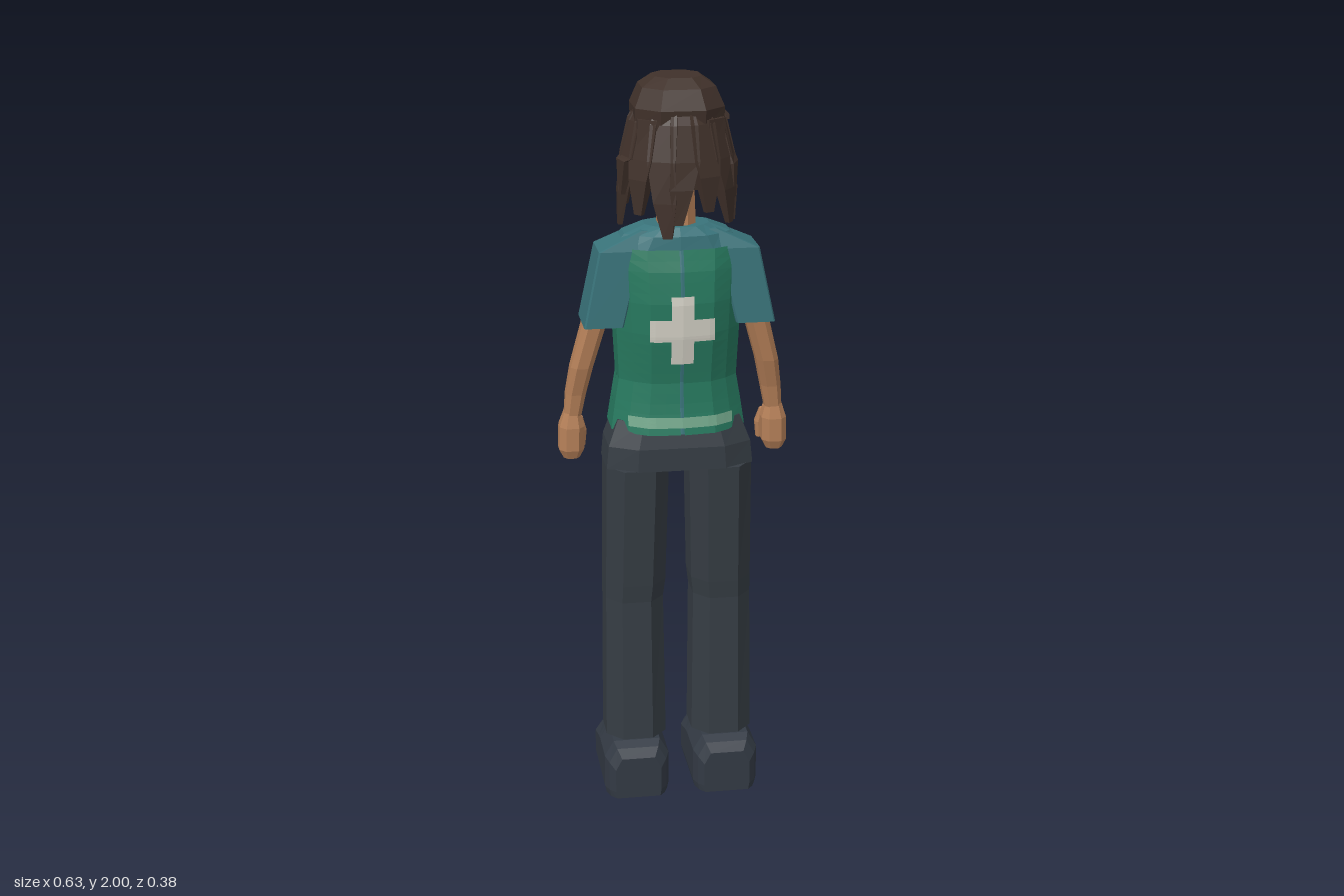
import * as THREE from 'three';

const mat = (name, color, side = THREE.FrontSide) => {
  const m = new THREE.MeshStandardMaterial({ color, flatShading: true, side });
  m.name = name;
  return m;
};

// Skin through a list of rings; each ring runs counterclockwise seen from the end it heads to.
function loft(rings) {
  const n = rings[0].length, pos = [], idx = [];
  rings.forEach(r => r.forEach(p => pos.push(...p)));
  for (let j = 0; j < rings.length - 1; j++) {
    for (let i = 0; i < n; i++) {
      const a = j * n + i, b = j * n + (i + 1) % n;
      idx.push(a, b, b + n, a, b + n, a + n);
    }
  }
  const top = (rings.length - 1) * n;
  for (let i = 1; i < n - 1; i++) idx.push(0, i + 1, i, top, top + i, top + i + 1);
  const g = new THREE.BufferGeometry();
  g.setAttribute('position', new THREE.Float32BufferAttribute(pos, 3));
  g.setIndex(idx);
  const flat = g.toNonIndexed();
  flat.computeVertexNormals();
  return flat;
}

// Horizontal box outline with cut corners
function oct(y, x0, x1, z0, z1, c = 0.25) {
  const a = (x1 - x0) * c, b = (z1 - z0) * c;
  return [[x1, y, z1 - b], [x1, y, z0 + b], [x1 - a, y, z0], [x0 + a, y, z0],
    [x0, y, z0 + b], [x0, y, z1 - b], [x0 + a, y, z1], [x1 - a, y, z1]];
}
const octLoft = (rows, c) => loft(rows.map(r => oct(...r, c)));
// Mirrored rows of [y, x0, x1, z0, z1]
const sideRows = (rows, s) => rows.map(([y, a, b, c, d]) => s > 0 ? [y, a, b, c, d] : [y, -b, -a, c, d]);

// Torso: height, half width, chest depth (-z), back depth (+z)
const TORSO = [
  [1.06, 0.172, 0.107, 0.132], [1.13, 0.162, 0.088, 0.118], [1.2, 0.15, 0.092, 0.112],
  [1.33, 0.156, 0.118, 0.132], [1.42, 0.16, 0.130, 0.134], [1.5, 0.165, 0.112, 0.124],
  [1.555, 0.172, 0.083, 0.106], [1.59, 0.14, 0.058, 0.102], [1.612, 0.085, 0.04, 0.085]];
// Quarter outline: share of width, share of depth
const QUARTER = [[0, 1], [0.5, 0.93], [0.78, 0.7], [1, 0.4], [1, 0]];

function sample(table, t) {
  let i = 0;
  while (i < table.length - 2 && t > table[i + 1][0]) i++;
  const a = table[i], b = table[i + 1];
  const k = THREE.MathUtils.clamp((t - a[0]) / (b[0] - a[0]), 0, 1);
  return a.map((v, q) => v + (b[q] - v) * k);
}
// Depth of the torso skin at x, y on the chest (-1) or the back (1)
function torsoZ(x, y, dir, grow) {
  const [, w, f, b] = sample(TORSO, y);
  const share = sample(QUARTER.slice(0, 4), Math.abs(x) / (w + grow))[1];
  return dir * ((dir < 0 ? f : b) + grow) * share;
}

// One quarter of the vest: a curved panel from the centre seam round to the side
function vestPanel(s, dir) {
  const cols = [[0.03, 1.43], [0.25, 1.49], [0.5, 1.55], [0.78, 1.56], [1, 1.55], [1, 1.5]];
  const rows = 18, pos = [], idx = [], g = 0.008;
  cols.forEach(([f, neck], c) => {
    const top = dir < 0 ? neck : 1.558;
    for (let j = 0; j <= rows; j++) {
      const y = 1.06 + (top - 1.06) * j / rows;
      const x = f * (sample(TORSO, y)[1] + g);
      pos.push(s * x, y, c === 5 ? 0 : torsoZ(x, y, dir, g));
      if (c < 5 && j < rows) {
        const a = c * (rows + 1) + j, b = a + rows + 1;
        if (s * dir > 0) idx.push(a, b, b + 1, a, b + 1, a + 1);
        else idx.push(a, b + 1, b, a, a + 1, b + 1);
      }
    }
  });
  const geo = new THREE.BufferGeometry();
  geo.setAttribute('position', new THREE.Float32BufferAttribute(pos, 3));
  geo.setIndex(idx);
  geo.computeVertexNormals();
  return geo;
}

// Thin patch laid on the vest
function patch(w, h, y, dir) {
  const g = new THREE.PlaneGeometry(w, h, 12, 8);
  if (dir < 0) g.rotateY(Math.PI);
  const p = g.attributes.position;
  for (let i = 0; i < p.count; i++) {
    const py = p.getY(i) + y;
    p.setXYZ(i, p.getX(i), py, torsoZ(p.getX(i), py, dir, 0.008) + dir * 0.005);
  }
  g.computeVertexNormals();
  return g;
}

// Hanging lock of hair: tapered slab at an angle round the head
function lock(deg, tipY, lean) {
  const rows = [[tipY, 0.15, 0.012, 0.006, lean], [tipY + 0.09, 0.142, 0.03, 0.014, lean * 0.6],
    [1.8, 0.128, 0.038, 0.018, 0], [1.89, 0.108, 0.036, 0.016, 0], [1.945, 0.085, 0.025, 0.01, 0]];
  return loft(rows.map(([y, r, w, t, turn]) => {
    const a = THREE.MathUtils.degToRad(deg + turn), c = Math.cos(a), s = Math.sin(a);
    return [[t, -w], [t, w], [-t, w], [-t, -w]].map(([o, k]) =>
      [(r + o) * c + k * s, y, 0.032 + (r + o) * s - k * c]);
  }));
}

export function createModel() {
  const model = new THREE.Group();
  model.name = 'figure';
  const hair = mat('dark brown hair', 0x40312a), skin = mat('skin', 0xb8825a);
  const shirt = mat('teal shirt', 0x39737a), vest = mat('green vest', 0x27795f, THREE.DoubleSide);
  const pants = mat('charcoal trousers', 0x363d44), shoe = mat('dark shoes', 0x333a44);
  const white = mat('off white', 0xd2cfc4, THREE.DoubleSide);
  const stripe = mat('pale green stripe', 0x74a88c, THREE.DoubleSide), dark = mat('eye', 0x1d1714);
  const add = (name, geo, m) => {
    const mesh = new THREE.Mesh(geo, m);
    mesh.name = name;
    model.add(mesh);
    return mesh;
  };

  // Trousers
  add('hips', octLoft([[0.958, -0.198, 0.198, -0.084, 0.132], [1.02, -0.192, 0.192, -0.085, 0.13],
    [1.09, -0.165, 0.165, -0.08, 0.11]], 0.2), pants);

  for (const s of [1, -1]) {
    const side = s > 0 ? 'left' : 'right';
    add(side + 'Leg', octLoft(sideRows([[0.162, 0.037, 0.204, -0.066, 0.114], [0.57, 0.042, 0.2, -0.08, 0.103],
      [0.62, 0.036, 0.2, -0.082, 0.108], [0.96, 0.028, 0.197, -0.084, 0.131]], s)), pants);

    // Shoe sections from toe to heel: z, half width, height
    add(side + 'Shoe', loft([[-0.188, 0.064, 0.075], [-0.172, 0.072, 0.1], [-0.115, 0.09, 0.115], [-0.03, 0.09, 0.15],
      [0.0, 0.09, 0.158], [0.11, 0.09, 0.158], [0.135, 0.08, 0.145], [0.153, 0.064, 0.12]].map(([z, w, h]) =>
      [[-w * 0.95, 0], [w * 0.95, 0], [w, 0.02], [w, h * 0.72], [w * 0.72, h], [-w * 0.72, h], [-w, h * 0.72], [-w, 0.02]]
        .map(([x, y]) => [s * 0.125 + x, y, z]))), shoe);

    // Arm, hand, thumb and sleeve
    add(side + 'Arm', octLoft(sideRows([[1.07, 0.254, 0.299, -0.062, -0.008], [1.14, 0.24, 0.294, -0.064, 0.002],
      [1.22, 0.222, 0.282, -0.052, 0.024], [1.38, 0.176, 0.242, -0.03, 0.045]], s)), skin);
    add(side + 'Hand', octLoft(sideRows([[0.956, 0.258, 0.302, -0.07, -0.012], [0.98, 0.246, 0.314, -0.085, -0.002],
      [1.045, 0.244, 0.312, -0.08, 0], [1.088, 0.255, 0.298, -0.062, -0.008]], s)), skin);
    add(side + 'Thumb', octLoft(sideRows([[0.975, 0.238, 0.262, -0.088, -0.062], [1.02, 0.234, 0.262, -0.09, -0.055],
      [1.06, 0.245, 0.265, -0.075, -0.05]], s)), skin);
    add(side + 'Sleeve', octLoft(sideRows([[1.352, 0.15, 0.254, -0.054, 0.1], [1.552, 0.1, 0.212, -0.045, 0.088],
      [1.602, 0.06, 0.1, -0.03, 0.07]], s), 0.04), shirt);

    // Vest quarters
    for (const dir of [-1, 1]) add(side + (dir < 0 ? 'VestFront' : 'VestBack'), vestPanel(s, dir), vest);

    // Eyes
    const eye = add(side + 'Eye', new THREE.BoxGeometry(0.014, 0.03, 0.008), dark);
    eye.position.set(s * 0.042, 1.835, -0.084);
  }

  // Shirt body: the quarter outline mirrored into a full ring
  add('shirt', loft(TORSO.map(([y, w, f, b]) => {
    const pt = ([u, v], s, d) => [s * u * w, y, d < 0 ? -v * f : v * b];
    const q = QUARTER, r = [...QUARTER].reverse();
    return [...r.map(p => pt(p, 1, -1)), ...q.slice(1).map(p => pt(p, -1, -1)),
      ...r.slice(1).map(p => pt(p, -1, 1)), ...q.slice(1, 4).map(p => pt(p, 1, 1))];
  })), shirt);

  // Crosses and reflective stripes, chest and back
  for (const dir of [-1, 1]) {
    const where = dir < 0 ? 'front' : 'back';
    add(where + 'CrossBar', patch(0.172, 0.06, 1.348, dir), white);
    add(where + 'CrossPost', patch(0.06, 0.185, 1.348, dir), white);
    add(where + 'Stripe', patch(0.28, 0.028, 1.094, dir), stripe);
  }

  // Neck, head and nose
  add('neck', octLoft([[1.59, -0.05, 0.05, -0.035, 0.065], [1.73, -0.045, 0.045, -0.035, 0.06]]), skin);
  add('head', octLoft([[1.685, -0.04, 0.04, -0.07, 0.03], [1.72, -0.064, 0.064, -0.078, 0.06],
    [1.79, -0.082, 0.082, -0.08, 0.09], [1.87, -0.086, 0.086, -0.08, 0.1], [1.94, -0.075, 0.075, -0.07, 0.09]]), skin);
  add('nose', loft([[[0.016, 1.79, -0.075], [0, 1.795, -0.11], [-0.016, 1.79, -0.075]],
    [[0.006, 1.835, -0.075], [0, 1.835, -0.083], [-0.006, 1.835, -0.075]]]), skin);

  // Hair: cap, nape and hanging locks
  add('hairCap', octLoft([[1.885, -0.115, 0.115, -0.082, 0.142], [1.925, -0.116, 0.116, -0.088, 0.146],
    [1.975, -0.095, 0.095, -0.07, 0.12], [2.0, -0.06, 0.06, -0.04, 0.09]]), hair);
  add('hairBack', octLoft([[1.72, -0.105, 0.105, 0.005, 0.135], [1.8, -0.116, 0.116, -0.02, 0.145],
    [1.9, -0.112, 0.112, -0.03, 0.14]], 0.2), hair);
  const tips = [1.66, 1.615, 1.69, 1.63, 1.67, 1.64, 1.605, 1.66, 1.7, 1.615, 1.65];
  tips.forEach((y, i) => add('hairLock', lock(-32 + i * 24.4, y, (i % 3 - 1) * 7), hair));

  // Swept fringe: x, y, z, half height, half depth
  add('fringe', loft([[-0.1, 1.9, -0.062, 0.03, 0.015], [-0.05, 1.925, -0.085, 0.04, 0.014], [0.03, 1.925, -0.094, 0.045, 0.014],
    [0.1, 1.9, -0.084, 0.035, 0.014], [0.155, 1.87, -0.066, 0.006, 0.005]].map(([x, y, z, h, d]) =>
    [[x, y - h, z - d * 0.6], [x, y + h, z - d * 0.6], [x, y + h, z + d], [x, y - h, z + d]])), hair);

  return model;
}
